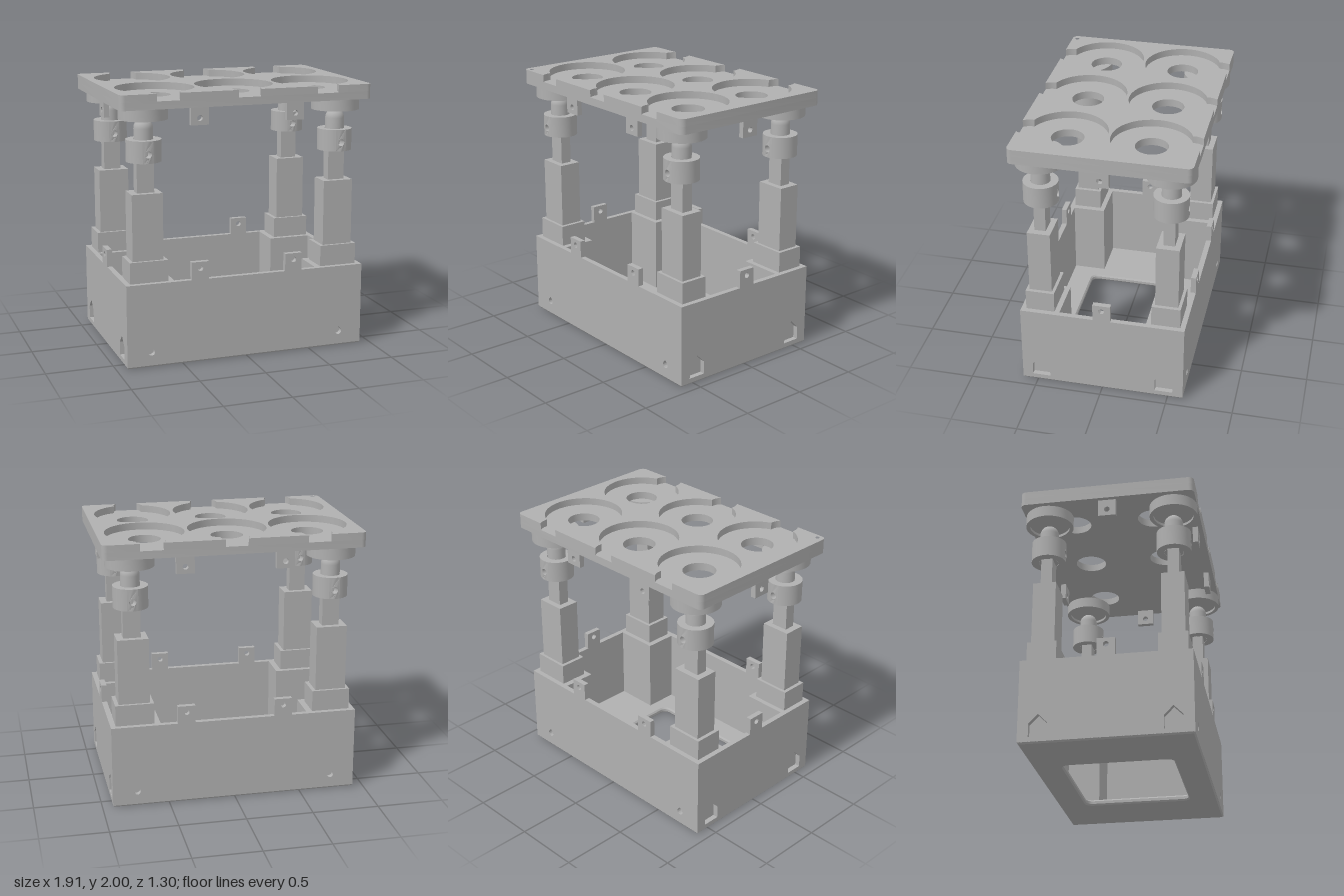
import * as THREE from 'three';
import { toCreasedNormals } from 'three/addons/utils/BufferGeometryUtils.js';

const grey = new THREE.MeshStandardMaterial({ color: 0xb0b0b0 });
grey.name = 'light grey';

const WX = 0.922, WZ = 0.615, WALL = 0.04, WALL_TOP = 0.627;
const PX = 0.955, PZ = 0.648, CORNER = 0.04;
const LEG_X = 0.74, LEG_Z = 0.47;

function add(parent, name, geometry, x = 0, y = 0, z = 0) {
  const mesh = new THREE.Mesh(geometry, grey);
  mesh.name = name;
  mesh.position.set(x, y, z);
  parent.add(mesh);
  return mesh;
}

const extrude = (shape, depth, extra = {}) => toCreasedNormals(
  new THREE.ExtrudeGeometry(shape, { depth, bevelEnabled: false, curveSegments: 24, ...extra }), 0.6);

// Extrudes a plan shape upwards
const slab = (shape, depth, extra) => extrude(shape, depth, extra).rotateX(-Math.PI / 2);

const box = (parent, name, x0, x1, y0, y1, z0, z1) => add(parent, name,
  new THREE.BoxGeometry(Math.abs(x1 - x0), y1 - y0, Math.abs(z1 - z0)), (x0 + x1) / 2, (y0 + y1) / 2, (z0 + z1) / 2);

function arc(cx, cy, r, a0, a1, n) {
  return Array.from({ length: n + 1 }, (_, i) => {
    const a = a0 + (a1 - a0) * i / n;
    return new THREE.Vector2(cx + r * Math.cos(a), cy + r * Math.sin(a));
  });
}

const polygon = (pairs) => new THREE.Shape(pairs.map(([x, y]) => new THREE.Vector2(x, y)));
const rect = (x0, x1, y0, y1) => polygon([[x0, y0], [x1, y0], [x1, y1], [x0, y1]]);
const circle = (x, y, r) => new THREE.Path().absarc(x, y, r, 0, Math.PI * 2, true);

function roundedRect(hx, hy, r) {
  const q = Math.PI / 2;
  return new THREE.Shape([
    ...arc(hx - r, hy - r, r, 0, q, 6), ...arc(r - hx, hy - r, r, q, 2 * q, 6),
    ...arc(r - hx, r - hy, r, 2 * q, 3 * q, 6), ...arc(hx - r, r - hy, r, 3 * q, 4 * q, 6)]);
}

// Openings in the box walls
const teardrop = (x) => new THREE.Path([
  ...arc(x, 0.113, 0.026, Math.PI * 0.75, Math.PI * 2.25, 18), new THREE.Vector2(x, 0.15)]);
const housePort = (x) => polygon([
  [x - 0.067, 0.047], [x + 0.067, 0.047], [x + 0.067, 0.145], [x, 0.213], [x - 0.067, 0.145]]);

// Mounting tab with a screw hole
function tabGeometry(holeY) {
  const shape = rect(-0.066, 0.066, -0.066, 0.066);
  shape.holes.push(circle(0, holeY, 0.021));
  return extrude(shape, WALL);
}

// One side of the box, with its lower tabs and the matching tabs under the plate
function addSide(root, name, turn, distance, half, tabs, portX, port) {
  const side = new THREE.Group();
  side.name = name;
  side.rotation.y = turn;
  const inner = distance - WALL;
  const shape = rect(-half, half, 0.013, WALL_TOP);
  shape.holes.push(port(-portX), port(portX));
  add(side, 'wall', extrude(shape, WALL), 0, 0, inner);
  for (const x of tabs) {
    add(side, 'boxTab', tabGeometry(0.018), x, WALL_TOP + 0.066, inner);
    add(side, 'plateTab', tabGeometry(-0.015), x, 1.825, inner);
  }
  root.add(side);
}

// Round collar with a screw hole on its front and back
function addCollar(leg) {
  const R = 0.128, r = 0.072, h = 0.16, open = 0.32;
  const ring = [[r, 0], [R, 0], [R, h], [r, h], [r, 0]].map(([x, y]) => new THREE.Vector2(x, y));
  const panel = new THREE.Shape([
    ...[-1, -0.5, 0, 0.5, 1].map((t) => new THREE.Vector2(t * open, 0)),
    ...[1, 0.5, 0, -0.5, -1].map((t) => new THREE.Vector2(t * open, h))]);
  panel.holes.push(new THREE.Path(
    arc(0, 0, 1, 0, -Math.PI * 2, 20).slice(0, -1).map((p) => new THREE.Vector2(p.x * 0.205, 0.065 + p.y * 0.026))));
  // Bend the flat panel round the axis
  const bent = new THREE.ExtrudeGeometry(panel, { depth: R - r, bevelEnabled: false });
  const p = bent.attributes.position;
  for (let i = 0; i < p.count; i++) {
    const a = p.getX(i), rad = r + p.getZ(i);
    p.setXYZ(i, rad * Math.sin(a), p.getY(i), rad * Math.cos(a));
  }
  const panelGeometry = toCreasedNormals(bent, 0.6);
  for (const turn of [0, Math.PI]) {
    add(leg, 'collarPanel', panelGeometry, 0, 1.5, 0).rotation.y = turn;
    const half = toCreasedNormals(new THREE.LatheGeometry(ring, 24, open, Math.PI - 2 * open), 0.6);
    add(leg, 'collarHalf', half, 0, 1.5, 0).rotation.y = turn;
  }
}

function addLeg(root, sx, sz) {
  // Post in the corner of the box
  box(root, 'cornerPost', sx * 0.552, sx * 0.883, 0.04, WALL_TOP, sz * 0.325, sz * 0.576);

  const leg = new THREE.Group();
  leg.name = 'leg';
  leg.position.set(sx * LEG_X, 0, sz * LEG_Z);
  box(leg, 'sleeve', -0.143, 0.143, WALL_TOP, 0.785, -0.107, 0.107);
  box(leg, 'column', -0.115, 0.115, 0.785, 1.275, -0.085, 0.085);
  box(leg, 'rod', -0.064, 0.064, 1.275, 1.52, -0.042, 0.042);
  addCollar(leg);

  // Stem with a rounded top
  const stem = [new THREE.Vector2(0, 1.501), new THREE.Vector2(0.07, 1.501),
    ...arc(0, 1.738, 0.07, 0, Math.PI / 2, 10)];
  add(leg, 'ballStem', toCreasedNormals(new THREE.LatheGeometry(stem, 32), 0.6));

  // Socket cup, open underneath
  const cup = [[0, 1.825], [0.148, 1.825], [0.148, 1.805], [0.178, 1.805], [0.178, 1.89], [0, 1.89]];
  add(leg, 'socketCup', toCreasedNormals(
    new THREE.LatheGeometry(cup.map(([x, y]) => new THREE.Vector2(x, y)), 48), 0.6));
  root.add(leg);
}

function addTopPlate(root) {
  const plate = new THREE.Group();
  plate.name = 'topPlate';
  const columns = [-0.605, 0, 0.605], row = 0.3;

  // Lower layer with the six round openings
  const base = roundedRect(PX, PZ, CORNER);
  for (const x of columns) for (const y of [-row, row]) base.holes.push(circle(x, y, 0.118));
  add(plate, 'plateBase', slab(base, 0.057), 0, 1.89, 0);

  // Upper layer: each round pocket opens to the edge through a slot
  const R = 0.289, r = 0.105, slotY = 0.583;
  const lip = Math.asin((PZ - slotY) / r), gap = Math.asin(r / R), q = Math.PI / 2;
  const edge = [
    ...arc(-PX + CORNER, PZ - CORNER, CORNER, 2 * q, q, 6),
    ...columns.flatMap((x) => [
      ...arc(x, slotY, r, Math.PI - lip, Math.PI, 5),
      ...arc(x, row, R, q + gap, 5 * q - gap, 48),
      ...arc(x, slotY, r, 0, lip, 5)]),
    ...arc(PX - CORNER, PZ - CORNER, CORNER, q, 0, 6)];
  const rim = new THREE.Shape([...edge, ...edge.map((p) => p.clone().negate())]);
  rim.holes.push(circle(-0.905, -0.61, 0.016));
  add(plate, 'plateRim', slab(rim, 0.053), 0, 1.947, 0);
  root.add(plate);
}

export function createModel() {
  const root = new THREE.Group();
  root.name = 'adjustableStand';

  // Floor with bevelled edges and a large opening
  const floor = rect(-WX + 0.0005, WX - 0.0005, -WZ + 0.0005, WZ - 0.0005);
  floor.holes.push(roundedRect(0.45, 0.4, 0.05));
  add(root, 'floor', slab(floor, 0.021,
    { bevelEnabled: true, bevelThickness: 0.012, bevelSize: 0.01, bevelOffset: -0.01, bevelSegments: 1 }), 0, 0.012, 0);

  for (const turn of [0, Math.PI]) {
    addSide(root, 'longSide', turn, WZ, WX, [-0.364, 0.364], LEG_X, teardrop);
    addSide(root, 'shortSide', turn + Math.PI / 2, WX, WZ - WALL, [0], LEG_Z, housePort);
  }
  for (const sx of [-1, 1]) for (const sz of [-1, 1]) addLeg(root, sx, sz);
  addTopPlate(root);
  return root;
}
